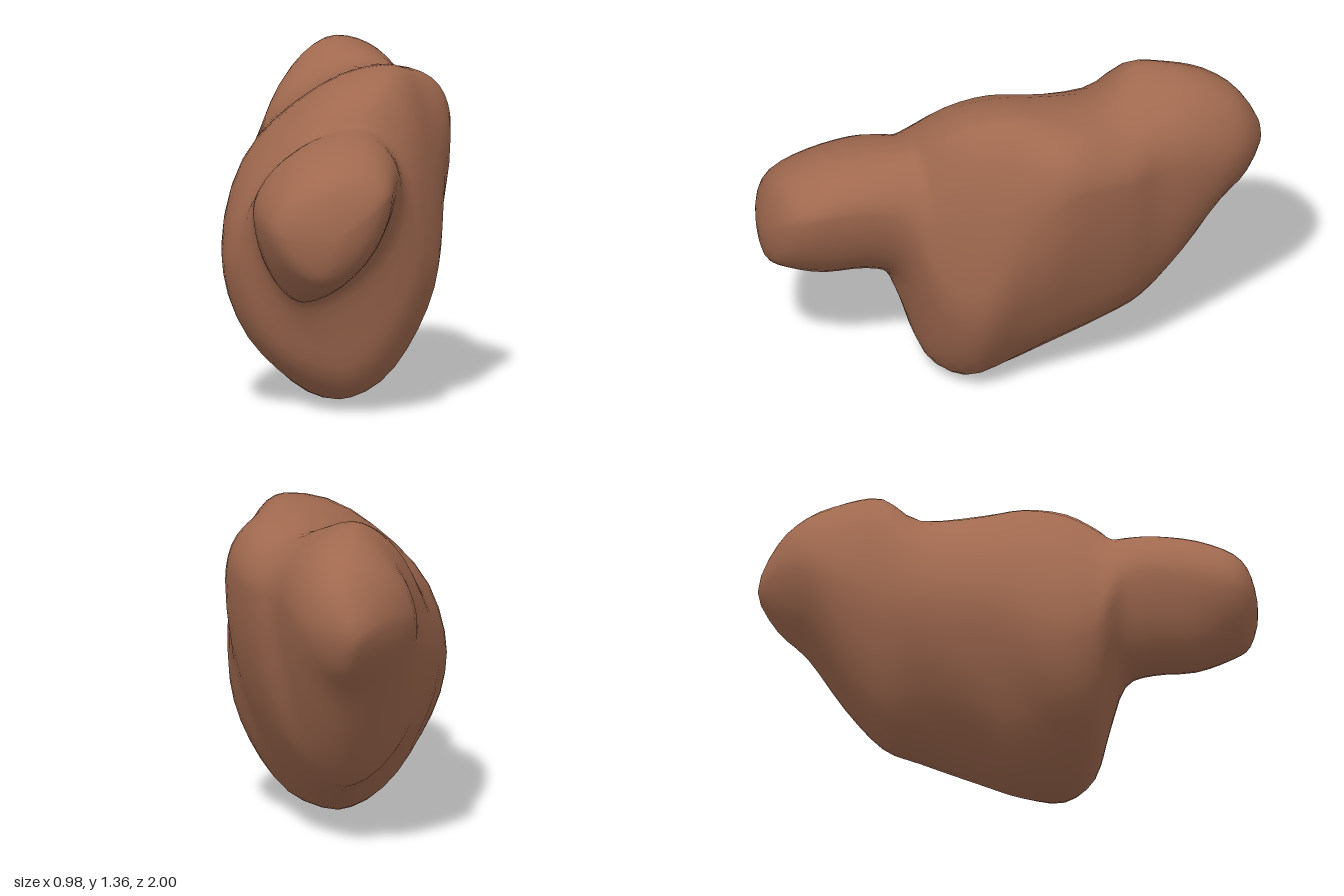
import * as THREE from 'three';
import { mergeVertices } from 'three/addons/utils/BufferGeometryUtils.js';

// Stations from nose to tail: z, left edge (x, y), right edge (x, y), crest (x, y), keel (x, y)
const STATIONS = [
  [0.97, -0.31, 0.76, -0.02, 0.84, -0.16, 0.91, -0.2, 0.6],
  [0.9, -0.4, 0.78, 0.07, 0.9, -0.12, 1.01, -0.22, 0.54],
  [0.75, -0.43, 0.8, 0.12, 0.93, -0.08, 1.08, -0.25, 0.47],
  [0.58, -0.43, 0.82, 0.165, 0.93, -0.03, 1.11, -0.24, 0.46],
  [0.47, -0.41, 0.8, 0.2, 0.85, 0, 1.12, -0.2, 0.43],
  [0.41, -0.43, 0.72, 0.25, 0.7, 0.02, 1.13, -0.1, 0.28],
  [0.35, -0.46, 0.6, 0.31, 0.6, 0.07, 1.2, -0.03, 0.09],
  [0.23, -0.49, 0.57, 0.39, 0.6, 0.15, 1.29, -0.02, 0.0],
  [0.06, -0.47, 0.62, 0.44, 0.88, 0.2, 1.325, -0.02, 0.01],
  [-0.1, -0.42, 0.7, 0.49, 1.06, 0.2, 1.305, 0.02, 0.08],
  [-0.35, -0.32, 0.75, 0.46, 1.05, 0.18, 1.28, 0.08, 0.2],
  [-0.5, -0.24, 0.8, 0.41, 1.05, 0.08, 1.35, 0.1, 0.27],
  [-0.65, -0.155, 0.9, 0.4, 1.05, 0.12, 1.35, 0.14, 0.46],
  [-0.8, -0.1, 1.0, 0.38, 1.03, 0.17, 1.3, 0.17, 0.7],
  [-0.92, 0.03, 1.03, 0.32, 1.03, 0.2, 1.2, 0.2, 0.83],
];
const pole = (z, x, y) => [z, x, y, x, y, x, y, x, y];

// Neighbour beyond a pole, mirrored so the end closes round
const beyond = (p, s) => p.map((v, i) => (i === 0 ? s[0] : 2 * v - s[i]));

// Smooth blend through four neighbouring stations
function blend(a, b, c, d, t) {
  return b.map((v, i) => v + 0.5 * t * (c[i] - a[i]
    + t * (2 * a[i] - 5 * v + 4 * c[i] - d[i]
    + t * (3 * (v - c[i]) + d[i] - a[i]))));
}

// One outline point: four rounded quadrants join the edges, crest and keel
function outlinePoint([z, lx, ly, rx, ry, tx, ty, bx, by], angle) {
  const c = Math.cos(angle), s = Math.sin(angle);
  const [ax, ay] = c >= 0 ? [rx, ry] : [lx, ly];
  const [cx, cy] = s >= 0 ? [tx, ty] : [bx, by];
  const p = s < 0 ? 1.15 : c < 0 ? 1.12 : 1; // flatter flank and underside
  return [cx + (ax - cx) * Math.abs(c) ** p, ay + (cy - ay) * Math.abs(s) ** p, z];
}

function lumpyGeometry(steps = 3, sides = 40) {
  const ends = [pole(1, -0.16, 0.75), pole(-1, 0.2, 1.0)];
  const list = [beyond(ends[0], STATIONS[0]), ends[0], ...STATIONS, ends[1],
    beyond(ends[1], STATIONS[STATIONS.length - 1])];
  const positions = [], index = [];
  const rings = (list.length - 3) * steps;
  for (let i = 0; i <= rings; i++) {
    const k = Math.min(Math.floor(i / steps), list.length - 4);
    const section = blend(...list.slice(k, k + 4), i / steps - k);
    for (let j = 0; j < sides; j++) {
      const [x, y, z] = outlinePoint(section, (j / sides) * Math.PI * 2);
      // shallow dents, fading out towards the silhouette extremes
      const fade = Math.sin((j / sides) * Math.PI * 4) ** 2 * Math.sin((i / rings) * Math.PI);
      const dent = 1 + 0.03 * fade * Math.sin(9 * z + 5 * y) * Math.cos(7 * x - 4 * z);
      const mx = (section[1] + section[3]) / 2, my = (section[6] + section[8]) / 2;
      positions.push(mx + (x - mx) * dent, my + (y - my) * dent, z);
    }
  }
  for (let i = 0; i < rings; i++) {
    for (let j = 0; j < sides; j++) {
      const a = i * sides + j, b = i * sides + ((j + 1) % sides);
      const c = a + sides, d = b + sides;
      if (i < rings - 1) index.push(b, c, d);
      if (i > 0) index.push(a, c, b);
    }
  }
  const geometry = new THREE.BufferGeometry();
  geometry.setAttribute('position', new THREE.Float32BufferAttribute(positions, 3));
  geometry.setIndex(index);
  const merged = mergeVertices(geometry, 1e-5);
  merged.computeVertexNormals();
  return merged;
}

export function createModel() {
  const group = new THREE.Group();
  group.name = 'asteroid';
  const stone = new THREE.MeshStandardMaterial({ color: 0xa0694f });
  stone.name = 'brown stone';
  const rock = new THREE.Mesh(lumpyGeometry(), stone);
  rock.name = 'rock';
  group.add(rock);
  return group;
}
